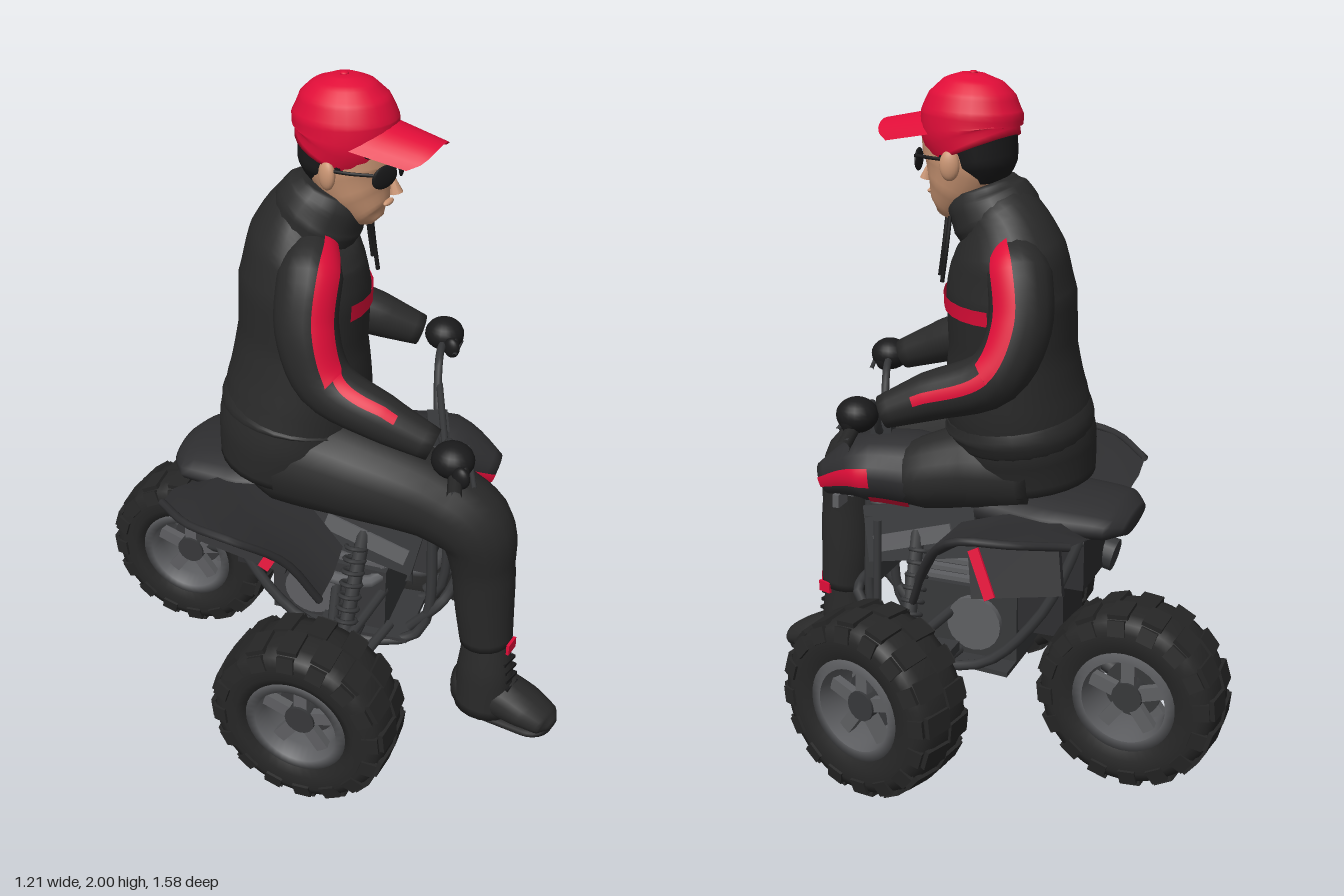
import * as THREE from 'three';

const V = (a) => new THREE.Vector3(...a);
const mat = (name, color, double) => {
  const m = new THREE.MeshStandardMaterial({ color });
  m.name = name;
  if (double) m.side = THREE.DoubleSide;
  return m;
};

export function createModel() {
  const cloth = mat('black cloth', 0x292929), rubber = mat('tyre rubber', 0x262626);
  const plastic = mat('dark plastic', 0x2e2e30, true), metal = mat('grey metal', 0x5e5f62);
  const steel = mat('dark steel', 0x37383a), red = mat('red', 0xe00d38, true);
  const skin = mat('skin', 0xcb9674), black = mat('glossy black', 0x1a1a1b);
  const root = new THREE.Group(), quad = new THREE.Group(), rider = new THREE.Group();
  quad.name = 'quadBike';
  rider.name = 'rider';
  root.add(quad, rider);

  const add = (parent, name, geo, m, pos = [0, 0, 0], rot = [0, 0, 0]) => {
    const mesh = new THREE.Mesh(geo, m);
    mesh.name = name;
    mesh.position.set(...pos);
    mesh.rotation.set(...rot);
    parent.add(mesh);
    return mesh;
  };

  // Rows of points joined into a smooth surface; closed rows get end caps
  const skinRows = (rows, closed) => {
    const n = rows[0].length, pts = rows.flat(), idx = [];
    for (let i = 0; i < rows.length - 1; i++) for (let j = 0; j < (closed ? n : n - 1); j++) {
      const a = i * n + j, b = i * n + (j + 1) % n;
      idx.push(a, b, a + n, b, b + n, a + n);
    }
    if (closed) [0, rows.length - 1].forEach((r) => {
      const c = pts.length;
      pts.push(rows[r].reduce((s, p) => s.add(p), V([0, 0, 0])).divideScalar(n));
      for (let j = 0; j < n; j++) {
        const a = r * n + j, b = r * n + (j + 1) % n;
        idx.push(...(r ? [c, a, b] : [c, b, a]));
      }
    });
    const g = new THREE.BufferGeometry().setFromPoints(pts);
    g.setIndex(idx);
    g.computeVertexNormals();
    return g;
  };

  // Sweep of elliptical sections [x, y, z, ru, rv]; an angle range makes a strip
  const loft = (st, { ref = [1, 0, 0], steps = 5, sides = 18, range, grow = 0, from = 0, to = 1 } = {}) => {
    const path = new THREE.CatmullRomCurve3(st.map((s) => V(s.slice(0, 3))));
    const n = (st.length - 1) * steps, rows = [];
    for (let i = 0; i <= n; i++) {
      const t = from + (to - from) * i / n, f = t * (st.length - 1), k = Math.min(Math.floor(f), st.length - 2);
      const r = [3, 4].map((c) => THREE.MathUtils.lerp(st[k][c], st[k + 1][c], f - k) + grow);
      if (st[k][4] === undefined) r[1] = r[0];
      const p = path.getPoint(t), tan = path.getTangent(t);
      const u = V(ref).addScaledVector(tan, -V(ref).dot(tan)).normalize(), v = tan.clone().cross(u);
      const count = range ? 10 : sides, row = [];
      for (let j = 0; j < count; j++) {
        const a = range ? range[0] + (range[1] - range[0]) * j / (count - 1) : 2 * Math.PI * j / count;
        row.push(p.clone().addScaledVector(u, r[0] * Math.cos(a)).addScaledVector(v, r[1] * Math.sin(a)));
      }
      rows.push(row);
    }
    return skinRows(rows, !range);
  };
  const tube = (parent, name, pts, r, m, seg = 16) =>
    add(parent, name, new THREE.TubeGeometry(new THREE.CatmullRomCurve3(pts.map(V)), seg, r, 8), m);
  const ball = (parent, name, pos, s, m, rot) => {
    const b = add(parent, name, new THREE.SphereGeometry(1, 20, 14), m, pos, rot);
    b.scale.set(...s);
  };

  // Wheels: tyre, low tread blocks, rim, spokes and hub
  const wheel = (x, z, yaw) => {
    const w = new THREE.Group();
    w.name = 'wheel';
    w.position.set(x, 0.28, z);
    w.rotation.y = yaw;
    quad.add(w);
    const prof = [[0.145, -0.09], [0.18, -0.106], [0.222, -0.106], [0.248, -0.095], [0.262, -0.06], [0.266, 0],
      [0.262, 0.06], [0.248, 0.095], [0.222, 0.106], [0.18, 0.106], [0.145, 0.09], [0.135, 0], [0.145, -0.09]];
    const lathe = (p) => new THREE.LatheGeometry(p.map((q) => new THREE.Vector2(...q)), 40).rotateZ(Math.PI / 2);
    add(w, 'tyre', lathe(prof), rubber);
    for (let i = 0; i < 16; i++) {
      const a = i / 16 * Math.PI * 2;
      [-1, 1].forEach((s) => {
        const b = a + s * 0.1;
        add(w, 'treadBlock', new THREE.BoxGeometry(0.085, 0.014, 0.06), rubber,
          [s * 0.044, Math.cos(b) * 0.263, Math.sin(b) * 0.263], [b, 0, -s * 0.08]);
        add(w, 'shoulderBlock', new THREE.BoxGeometry(0.014, 0.045, 0.05), rubber,
          [s * 0.101, Math.cos(b) * 0.232, Math.sin(b) * 0.232], [b, 0, s * 0.25]);
      });
    }
    add(w, 'rim', lathe([[0.125, -0.094], [0.154, -0.094], [0.154, 0.094], [0.125, 0.094], [0.115, 0.04], [0.115, -0.04], [0.125, -0.094]]), metal);
    add(w, 'hub', new THREE.CylinderGeometry(0.045, 0.045, 0.13, 16).rotateZ(Math.PI / 2), steel);
    add(w, 'brakeDisc', new THREE.CylinderGeometry(0.085, 0.085, 0.02, 24).rotateZ(Math.PI / 2), steel);
    for (let i = 0; i < 5; i++) {
      const a = i / 5 * Math.PI * 2;
      [-0.045, 0.045].forEach((s) => add(w, 'spoke', new THREE.BoxGeometry(0.025, 0.1, 0.04), metal,
        [s, Math.cos(a) * 0.08, Math.sin(a) * 0.08], [a, 0, 0]));
    }
  };
  wheel(0.485, 0.03, 0.06);
  wheel(-0.44, 0.265, 0.25);
  wheel(-0.03, -0.51, 0.27);

  // Bodywork, turned to its own heading
  const body = new THREE.Group();
  body.name = 'bodywork';
  body.rotation.y = 0.314;
  quad.add(body);
  add(body, 'seat', loft([[0, 0.75, -0.45, 0.1, 0.03], [0, 0.76, -0.4, 0.17, 0.05], [0, 0.76, -0.22, 0.19, 0.07],
    [0, 0.77, 0, 0.15, 0.08], [0.02, 0.82, 0.17, 0.11, 0.08]]), plastic);
  const tank = [[0.04, 0.82, 0.08, 0.13, 0.1], [0.06, 0.84, 0.22, 0.14, 0.11], [0.1, 0.84, 0.36, 0.13, 0.1], [0.12, 0.79, 0.49, 0.045, 0.05]];
  add(body, 'tank', loft(tank), plastic);
  // Red chevron and tank stripes
  [[-0.25, 0.3], [2.84, 3.39]].forEach((range) => add(body, 'noseChevron', loft(tank, { range, grow: 0.006, from: 0.6, to: 1 }), red));
  [[-0.95, -0.6], [3.74, 4.09]].forEach((range) => add(body, 'tankStripe', loft(tank, { range, grow: 0.006, from: 0.3, to: 0.62 }), red));
  [-1, 1].forEach((s) => {
    const rows = [
      [[0.2, 0.64, 0.12], [0.29, 0.6, 0.12], [0.35, 0.55, 0.1]], [[0.18, 0.74, 0.02], [0.3, 0.71, 0.03], [0.42, 0.72, 0.02]],
      [[0.16, 0.78, -0.12], [0.34, 0.8, -0.13], [0.51, 0.83, -0.1]], [[0.14, 0.77, -0.28], [0.32, 0.82, -0.28], [0.48, 0.83, -0.24]],
      [[0.14, 0.73, -0.36], [0.27, 0.78, -0.38], [0.37, 0.8, -0.37]]];
    add(body, 'fender', skinRows(rows.map((r) => r.map(([x, y, z]) => V([s * x, y, z])))), plastic);
    tube(body, 'fenderLip', rows.map((r) => [s * r[2][0], r[2][1], r[2][2]]), 0.012, plastic);
    add(body, 'fenderMark', new THREE.BoxGeometry(0.008, 0.15, 0.035), red, [s * 0.25, 0.62, -0.07], [0.5, 0, s * 0.3]);
    add(body, 'innerFender', new THREE.BoxGeometry(0.02, 0.2, 0.28), plastic, [s * 0.22, 0.66, -0.16], [0.2, 0, s * 0.3]);
    // Frame rails and suspension arms
    tube(body, 'frameRail', [[s * 0.1, 0.74, -0.33], [s * 0.13, 0.45, -0.2], [s * 0.13, 0.26, 0], [s * 0.1, 0.28, 0.32], [s * 0.08, 0.75, 0.36]], 0.016, steel, 24);
    tube(body, 'upperRail', [[s * 0.08, 0.72, 0.36], [s * 0.12, 0.68, 0.05], [s * 0.1, 0.7, -0.33]], 0.014, steel);
    add(body, 'footPeg', new THREE.BoxGeometry(0.14, 0.03, 0.07), steel, [s * 0.21, 0.32, 0.08]);
    [[0.24, 0.27], [0.05, 0.27], [0.22, 0.4], [0.07, 0.4]].forEach(([z, y]) =>
      tube(body, 'suspensionArm', [[s * 0.1, y + 0.03, z], [s * 0.42, y - 0.02, 0.15]], 0.016, steel, 2));
    tube(body, 'damper', [[s * 0.3, 0.34, 0.15], [s * 0.15, 0.68, 0.17]], 0.022, steel, 2);
    for (let i = 0; i < 8; i++) add(body, 'springCoil', new THREE.TorusGeometry(0.03, 0.007, 6, 14), steel,
      [s * (0.28 - i * 0.015), 0.39 + i * 0.034, 0.153], [Math.PI / 2, s * 0.42, 0]);
    add(body, 'sidePanel', new THREE.BoxGeometry(0.02, 0.17, 0.36), steel, [s * 0.15, 0.68, 0.16], [0.2, 0, s * 0.2]);
    add(body, 'sideTrim', new THREE.BoxGeometry(0.008, 0.05, 0.26), metal, [s * 0.168, 0.66, 0.18], [0.3, 0, s * 0.2]);
    add(body, 'headlamp', new THREE.BoxGeometry(0.06, 0.04, 0.02), metal, [0.09 + s * 0.05, 0.74, 0.43]);
  });
  // Engine and running gear
  add(body, 'crankcase', new THREE.BoxGeometry(0.24, 0.22, 0.36), steel, [0, 0.4, 0.05]);
  add(body, 'clutchCover', new THREE.CylinderGeometry(0.085, 0.085, 0.28, 20), metal, [0, 0.4, 0], [0, 0, Math.PI / 2]);
  for (let i = 0; i < 6; i++) add(body, 'coolingFin', new THREE.BoxGeometry(0.21, 0.014, 0.2), metal, [0, 0.52 + i * 0.028, 0.12]);
  add(body, 'cylinder', new THREE.BoxGeometry(0.16, 0.24, 0.15), steel, [0, 0.58, 0.12]);
  add(body, 'radiator', new THREE.BoxGeometry(0.22, 0.2, 0.05), steel, [0.04, 0.6, 0.32]);
  add(body, 'airBox', new THREE.BoxGeometry(0.22, 0.16, 0.26), plastic, [0, 0.63, -0.2]);
  add(body, 'rearCase', new THREE.BoxGeometry(0.18, 0.18, 0.18), plastic, [0.02, 0.48, -0.18]);
  add(body, 'skidPlate', new THREE.BoxGeometry(0.24, 0.015, 0.4), steel, [0, 0.25, 0.1], [-0.06, 0, 0]);
  add(body, 'muffler', new THREE.CylinderGeometry(0.045, 0.05, 0.24, 16), steel, [-0.12, 0.6, -0.24], [1.35, 0, 0]);
  tube(body, 'exhaustPipe', [[0, 0.55, 0.2], [-0.12, 0.48, 0.2], [-0.16, 0.5, 0], [-0.12, 0.57, -0.14]], 0.02, metal);
  add(body, 'axle', new THREE.CylinderGeometry(0.02, 0.02, 0.86, 10), steel, [0, 0.29, 0.147], [0, 0, Math.PI / 2]);
  tube(body, 'swingArm', [[0, 0.38, -0.08], [0.02, 0.36, -0.24], [0.11, 0.29, -0.48]], 0.024, steel);
  tube(body, 'bumper', [[-0.09, 0.3, 0.3], [-0.08, 0.42, 0.4], [0.1, 0.42, 0.4], [0.1, 0.3, 0.3]], 0.016, steel);

  // Steering
  tube(quad, 'steeringColumn', [[0.12, 0.6, 0.32], [0.15, 0.97, 0.29]], 0.022, steel, 2);
  tube(quad, 'sideStrut', [[0.32, 0.74, 0.16], [0.36, 0.25, 0.14]], 0.012, steel, 2);
  tube(quad, 'handlebar', [[-0.22, 1.04, 0.59], [-0.05, 1.06, 0.46], [0.05, 0.97, 0.38], [0.2, 0.96, 0.26], [0.29, 1.08, 0.2], [0.5, 1.04, 0.1]], 0.012, steel, 40);
  tube(quad, 'crossBar', [[0.02, 1, 0.4], [0.25, 1.02, 0.23]], 0.01, steel, 2);
  add(quad, 'barClamp', new THREE.BoxGeometry(0.12, 0.05, 0.06), steel, [0.14, 0.95, 0.3], [0, 0.63, 0]);
  [[[-0.23, 1.04, 0.59], [-0.08, 1.06, 0.5]], [[0.51, 1.03, 0.1], [0.36, 1.08, 0.17]]].forEach((p) => tube(quad, 'grip', p, 0.02, rubber, 2));
  [[[-0.02, 1.05, 0.5], [-0.18, 1.05, 0.62]], [[0.34, 1.07, 0.22], [0.46, 1.05, 0.17]]].forEach((p) => tube(quad, 'lever', p, 0.007, steel, 2));

  // Jacket
  const left = [0.707, 0, -0.707];
  const torso = [[-0.08, 0.83, -0.08, 0.21, 0.2], [-0.07, 0.95, -0.07, 0.235, 0.215], [-0.045, 1.08, -0.06, 0.235, 0.21], [-0.03, 1.24, -0.06, 0.225, 0.185],
    [-0.02, 1.4, -0.06, 0.24, 0.185], [-0.01, 1.51, -0.06, 0.225, 0.16], [0, 1.59, -0.04, 0.15, 0.125], [0.01, 1.64, 0, 0.095, 0.1]];
  add(rider, 'jacket', loft(torso, { ref: left, sides: 28 }), cloth);
  add(rider, 'chestStripe', loft(torso, { ref: left, range: [-2.6, -0.5], grow: 0.007, from: 0.528, to: 0.572 }), red);
  add(rider, 'hem', loft([[-0.06, 0.97, -0.065, 0.228, 0.21], [-0.055, 1.01, -0.065, 0.245, 0.22], [-0.05, 1.05, -0.06, 0.228, 0.21]], { ref: left, sides: 28 }), cloth);
  add(rider, 'hood', loft([[-0.01, 1.56, -0.04, 0.14, 0.12], [0, 1.61, -0.02, 0.138, 0.13], [0.01, 1.66, 0.005, 0.115, 0.118], [0.015, 1.69, 0.015, 0.09, 0.095]], { ref: left }), cloth);
  [-0.03, 0.03].forEach((o) => tube(rider, 'drawstring', [[0.085 + o, 1.61, 0.08 - o], [0.108 + o, 1.52, 0.075 - o], [0.118 + o, 1.43, 0.083 - o]], 0.006, black));

  // Arms with sleeve stripes, gloves and fingers
  const arms = [
    { st: [[-0.07, 1.55, 0.02, 0.055], [-0.15, 1.49, 0.06, 0.09], [-0.2, 1.36, 0.085, 0.088], [-0.205, 1.22, 0.15, 0.082], [-0.17, 1.15, 0.31, 0.068], [-0.12, 1.09, 0.45, 0.047]],
      hand: [-0.13, 1.075, 0.52], out: [-0.8, 0.2, 0.5], range: [-0.25, 0.5], turn: 0.75 },
    { st: [[0.06, 1.55, -0.13, 0.055], [0.11, 1.48, -0.19, 0.09], [0.15, 1.35, -0.225, 0.088], [0.21, 1.22, -0.19, 0.082], [0.3, 1.15, -0.03, 0.068], [0.37, 1.1, 0.08, 0.047]],
      hand: [0.41, 1.09, 0.14], out: [0.8, 0.2, -0.1], range: [-0.35, 0.4], turn: 0 }];
  arms.forEach(({ st, hand, out, range, turn }) => {
    const stripeRef = V(out).applyAxisAngle(V([0, 1, 0]), turn).toArray();
    add(rider, 'sleeve', loft(st, { ref: out }), cloth);
    add(rider, 'sleeveStripe', loft(st, { ref: stripeRef, range, grow: 0.007, from: 0.02, to: 0.62 }), red);
    add(rider, 'forearmStripe', loft(st, { ref: stripeRef, range: [range[0], range[0] + 0.4], grow: 0.007, from: 0.62, to: 0.85 }), red);
    ball(rider, 'glove', hand, [0.058, 0.05, 0.06], black);
    for (let k = 0; k < 4; k++) ball(rider, 'finger',
      [hand[0] - 0.045 + k * 0.028, hand[1] - 0.012, hand[2] + 0.055 - k * 0.019], [0.017, 0.032, 0.026], black);
  });

  // Trousers and boot
  add(rider, 'leg', loft([[-0.1, 0.89, -0.14, 0.14], [-0.11, 0.89, -0.02, 0.17], [-0.08, 0.88, 0.18, 0.15], [-0.01, 0.83, 0.4, 0.122], [0.03, 0.76, 0.505, 0.115],
    [0.05, 0.62, 0.53, 0.095], [0.06, 0.46, 0.54, 0.088], [0.065, 0.34, 0.55, 0.08]]), cloth);
  add(rider, 'leftThigh', loft([[-0.02, 0.88, -0.14, 0.14], [0.06, 0.87, 0, 0.135], [0.15, 0.84, 0.14, 0.105], [0.19, 0.81, 0.24, 0.06]]), cloth);
  add(rider, 'ankleMark', new THREE.BoxGeometry(0.05, 0.035, 0.009), red, [0.07, 0.345, 0.634], [0, 0.1, 0]);
  add(rider, 'ankleMark', new THREE.BoxGeometry(0.009, 0.035, 0.045), red, [0.146, 0.345, 0.57]);
  add(rider, 'bootShaft', loft([[0.06, 0.36, 0.555, 0.062, 0.07], [0.055, 0.24, 0.56, 0.075, 0.088], [0.055, 0.09, 0.56, 0.078, 0.092]]), cloth);
  add(rider, 'bootFoot', loft([[0.05, 0.13, 0.47, 0.05, 0.06], [0.065, 0.15, 0.58, 0.075, 0.08], [0.085, 0.125, 0.69, 0.077, 0.055], [0.095, 0.1, 0.76, 0.06, 0.036], [0.095, 0.095, 0.785, 0.02, 0.015]]), cloth);
  const sole = new THREE.CapsuleGeometry(0.072, 0.17, 6, 14).rotateX(Math.PI / 2).scale(1, 0.25, 1);
  add(rider, 'bootSole', sole, black, [0.075, 0.077, 0.625], [0, 0.12, 0]);
  for (let i = 0; i < 4; i++) add(rider, 'bootLace', new THREE.BoxGeometry(0.06, 0.01, 0.012), black, [0.065, 0.2 + i * 0.03, 0.648 - i * 0.005]);

  // Head, facing slightly to its left
  const head = new THREE.Group();
  head.name = 'head';
  head.position.set(0.03, 0, 0.04);
  head.rotation.y = 0.15;
  rider.add(head);
  add(head, 'neck', loft([[-0.02, 1.55, -0.03, 0.068, 0.068], [0, 1.76, 0, 0.07, 0.075]]), skin);
  add(head, 'face', loft([[0, 1.605, 0.1, 0.022, 0.02], [0, 1.625, 0.08, 0.055, 0.06], [0, 1.68, 0.045, 0.088, 0.095],
    [0, 1.75, 0.02, 0.105, 0.128], [0, 1.82, 0.015, 0.108, 0.135], [0, 1.87, 0.015, 0.1, 0.125]], { sides: 24 }), skin);
  add(head, 'hair', loft([[0, 1.7, -0.045, 0.065, 0.055], [0, 1.75, -0.04, 0.1, 0.09], [0, 1.82, -0.025, 0.111, 0.105]]), black);
  add(head, 'nose', new THREE.ConeGeometry(0.019, 0.06, 8), skin, [0, 1.722, 0.146], [-0.25, 0, 0]);
  ball(head, 'lips', [0, 1.662, 0.131], [0.025, 0.008, 0.01], skin);
  [-1, 1].forEach((s) => {
    ball(head, 'ear', [s * 0.112, 1.755, 0.005], [0.018, 0.042, 0.028], skin, [0, s * 0.4, 0]);
    ball(head, 'sunglassLens', [s * 0.052, 1.755, 0.143], [0.045, 0.032, 0.008], black, [0, s * 0.35, 0]);
    tube(head, 'glassesArm', [[s * 0.09, 1.77, 0.13], [s * 0.113, 1.772, 0.07], [s * 0.116, 1.77, 0]], 0.005, black);
    ball(head, 'sideburn', [s * 0.103, 1.795, 0.025], [0.01, 0.035, 0.022], black);
  });
  ball(head, 'fringe', [-0.06, 1.83, 0.125], [0.045, 0.018, 0.015], black, [0, -0.4, 0.2]);
  tube(head, 'glassesBridge', [[-0.02, 1.77, 0.153], [0.02, 1.77, 0.153]], 0.006, black, 2);

  // Cap with curved brim
  add(head, 'capCrown', loft([[0, 1.79, -0.02, 0.12, 0.125], [0, 1.84, 0, 0.127, 0.147], [0, 1.89, 0, 0.124, 0.147], [0, 1.94, -0.002, 0.104, 0.124],
    [0, 1.975, -0.003, 0.07, 0.085], [0, 1.993, -0.004, 0.03, 0.035]], { sides: 28 }), red);
  const brim = [];
  for (let i = 0; i <= 6; i++) {
    const t = i / 6, row = [];
    for (let j = 0; j <= 12; j++) {
      const u = j / 6 - 1, x = u * (0.118 - 0.022 * t);
      row.push(V([x, 1.885 - 0.03 * t - 0.05 * u * u, 0.14 * Math.sqrt(1 - 0.75 * u * u) * (1 - t) + t * (0.285 - 0.03 * u * u - 0.03 * u ** 8)]));
    }
    brim.push(row);
  }
  add(head, 'capBrim', skinRows(brim), red);
  ball(head, 'capButton', [0, 1.994, -0.004], [0.012, 0.006, 0.012], red);
  return root;
}
